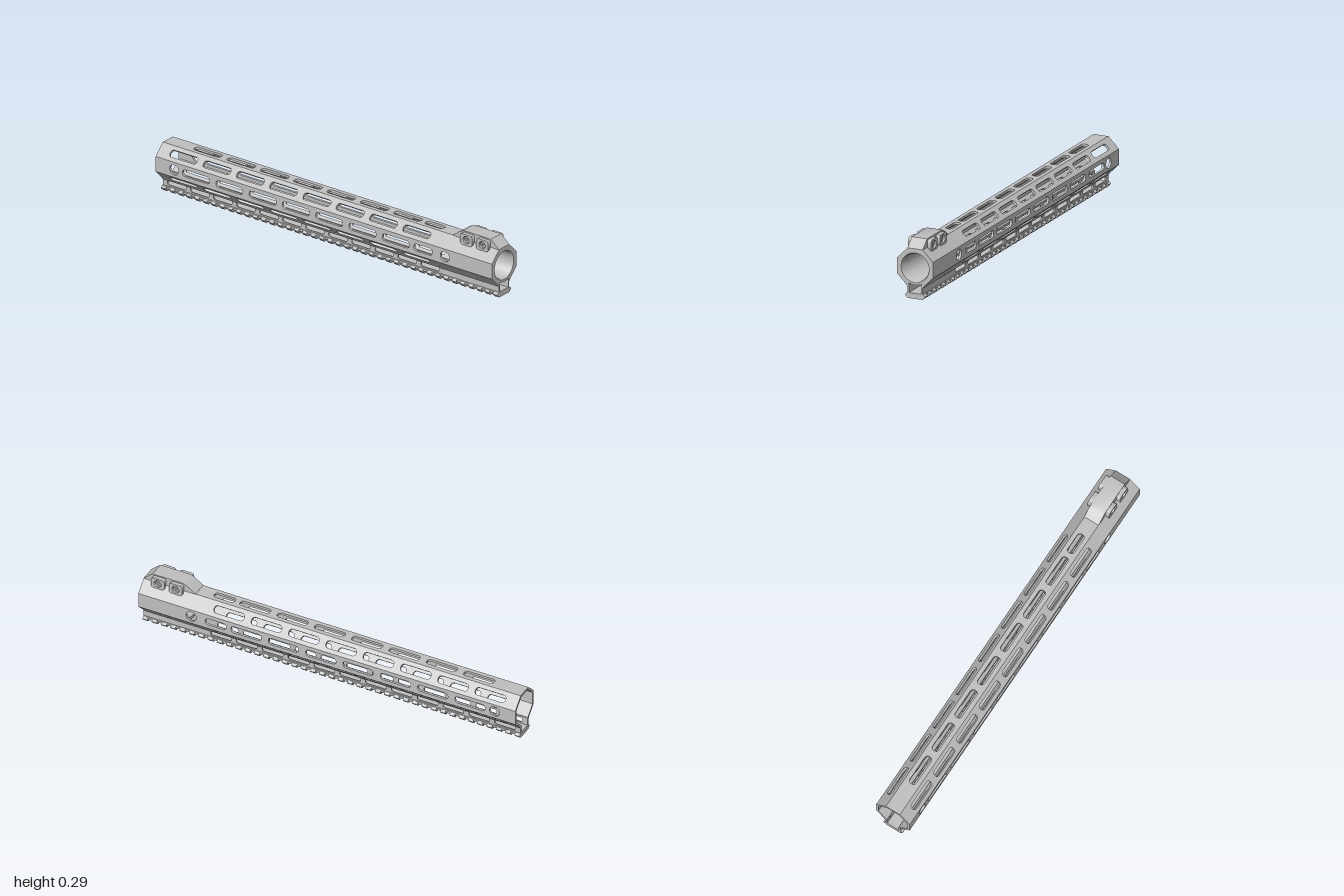
import * as THREE from 'three';
import { toCreasedNormals } from 'three/addons/utils/BufferGeometryUtils.js';

const CY = 0.153;                    // tube axis height
const A = 0.094;                     // octagon apothem
const HALF = A * Math.tan(Math.PI / 8);
const WALL = 0.012;
const BODY_Z = 0.76;                 // solid front collar starts here
const PITCH = 0.198;

const metal = new THREE.MeshStandardMaterial({ color: 0xc0c0c0 });
metal.name = 'lightGreyMetal';

function mesh(name, geo) {
  const m = new THREE.Mesh(toCreasedNormals(geo, 0.6), metal);
  m.name = name;
  return m;
}

// Rounded rectangle traced around (cx, cy)
function roundRect(path, cx, cy, w, h, r) {
  const x = w / 2 - r, y = h / 2 - r;
  path.absarc(cx + x, cy + y, r, 0, Math.PI / 2);
  path.absarc(cx - x, cy + y, r, Math.PI / 2, Math.PI);
  path.absarc(cx - x, cy - y, r, Math.PI, Math.PI * 1.5);
  path.absarc(cx + x, cy - y, r, Math.PI * 1.5, Math.PI * 2);
  path.closePath();
  return path;
}

const slot = (z0, z1, h, r = h * 0.42) =>
  roundRect(new THREE.Path(), (z0 + z1) / 2, 0, Math.abs(z1 - z0), h, r);
const hole = (z, r) => new THREE.Path().absarc(z, 0, r, 0, Math.PI * 2);

// Stand a plate drawn in (z, width) so that it faces angle a, outer face at (x, y)
function place(geo, a, x, y) {
  const c = Math.cos(a), s = Math.sin(a);
  const m = new THREE.Matrix4().makeBasis(
    new THREE.Vector3(0, 0, 1), new THREE.Vector3(s, -c, 0), new THREE.Vector3(c, s, 0));
  return geo.applyMatrix4(m.setPosition(x, y, 0));
}

// Straight plate of thickness t; miter narrows the inner edges
function plate(z0, z1, half, t, holes, miter = 1) {
  const shape = new THREE.Shape([[z0, -half], [z1, -half], [z1, half], [z0, half]]
    .map(p => new THREE.Vector2(...p)));
  shape.holes = holes;
  const geo = new THREE.ExtrudeGeometry(shape, { depth: t, bevelEnabled: false, curveSegments: 8 });
  geo.translate(0, 0, -t);
  const p = geo.attributes.position;
  for (let i = 0; i < p.count; i++) {
    if (p.getZ(i) < -t / 2 && Math.abs(p.getY(i)) > half - 1e-4) p.setY(i, p.getY(i) * miter);
  }
  return geo;
}

function extrude(points, depth) {
  const shape = new THREE.Shape(points.map(p => new THREE.Vector2(...p)));
  return new THREE.ExtrudeGeometry(shape, { depth, bevelEnabled: false });
}

export function createModel() {
  const group = new THREE.Group();

  // Slot layouts for flat and diagonal walls
  const flatSlots = () => {
    const list = [slot(0.535, 0.645, 0.036)];
    for (let i = 0; i < 7; i++) list.push(slot(0.348 - i * PITCH, 0.508 - i * PITCH, 0.036));
    return list;
  };
  const diagonalSlots = () => Array.from({ length: 8 },
    (_, i) => slot(0.452 - i * PITCH, 0.612 - i * PITCH, 0.036));

  // Seven slotted walls of the octagonal tube, open underneath
  for (let k = -1; k <= 5; k++) {
    const a = k * Math.PI / 4;
    const diagonal = k % 2 !== 0;
    const holes = diagonal ? diagonalSlots() : flatSlots();
    if (k === 0 || k === 4) holes.push(hole(0.72, 0.027), hole(-0.89, 0.027));
    const geo = plate(-1, BODY_Z, HALF, WALL, holes, (A - WALL) / A);
    group.add(mesh(diagonal ? 'diagonalWall' : k === 2 ? 'topWall' : 'sideWall',
      place(geo, a, A * Math.cos(a), CY + A * Math.sin(a))));
  }

  // Front collar: octagon outside, round bore inside, arched underside
  const R = A / Math.cos(Math.PI / 8);
  const collar = new THREE.Shape();
  for (let k = 0; k < 8; k++) {
    const a = -Math.PI * 3 / 8 + k * Math.PI / 4;
    collar[k ? 'lineTo' : 'moveTo'](R * Math.cos(a), R * Math.sin(a));
  }
  const arch = Math.acos(0.033 / 0.085);
  collar.absarc(0, 0, 0.085, -Math.PI + arch, -arch, false);
  collar.closePath();
  collar.holes.push(new THREE.Path().absarc(0, 0, 0.073, 0, Math.PI * 2));
  const collarGeo = new THREE.ExtrudeGeometry(collar,
    { depth: 1 - BODY_Z, bevelEnabled: false, curveSegments: 32 });
  group.add(mesh('frontCollar', collarGeo.translate(0, CY, BODY_Z)));

  // Bore lining with a chamfered mouth
  const lining = [[0.073, 1], [0.068, 0.99], [0.068, BODY_Z], [0.074, BODY_Z]]
    .map(p => new THREE.Vector2(...p));
  group.add(mesh('boreLining',
    new THREE.LatheGeometry(lining, 64).rotateX(Math.PI / 2).translate(0, CY, 0)));

  // Slotted struts between tube and lower rail, flared where they meet the tube
  for (const side of [1, -1]) {
    const holes = Array.from({ length: 12 },
      (_, i) => slot(0.535 - i * 0.137, 0.645 - i * 0.137, 0.026, 0.009));
    const geo = plate(-1, 1, 0.022, 0.007, holes);
    group.add(mesh('strut', place(geo, side > 0 ? 0 : Math.PI, side * 0.039, 0.047)));

    const flare = [[0.037, 0.06], [0.038, 0.055], [0.041, 0.058], [0.047, 0.067], [0.037, 0.067]]
      .map(([x, y]) => [x * side, y]);
    group.add(mesh('strutFlare', extrude(flare, 2).translate(0, 0, -1)));
  }

  // Lower rail: continuous core with cross teeth that form the flanges
  const core = extrude([[-0.044, 0.0145], [0.044, 0.0145], [0.044, 0.025], [0.042, 0.027],
    [-0.042, 0.027], [-0.044, 0.025]], 2);
  group.add(mesh('railCore', core.translate(0, 0, -1)));
  const teeth = new THREE.Group();
  teeth.name = 'railTeeth';
  const toothGeo = extrude([[-0.039, 0], [0.039, 0], [0.053, 0.0135], [0.053, 0.0165],
    [0.042, 0.0265], [-0.042, 0.0265], [-0.053, 0.0165], [-0.053, 0.0135]], 0.026);
  for (let i = 0; i < 41; i++) {
    const tooth = mesh('railTooth', toothGeo);
    tooth.position.z = 0.974 - i * (1.974 / 40);
    teeth.add(tooth);
  }
  group.add(teeth);

  // Raised block on top with sloped ends
  const block = extrude([[-1, 0.24], [-1, 0.247], [-0.952, 0.288], [-0.79, 0.288],
    [-0.765, 0.276], [-0.725, 0.247], [-0.725, 0.24]].reverse(), 0.08);
  group.add(mesh('topBlock', block.rotateY(Math.PI / 2).translate(-0.04, 0, 0)));

  // Clamp lugs with recessed screws on both sides of the block
  for (const side of [1, -1]) {
    const a = side > 0 ? 0 : Math.PI;
    for (const z of [0.915, 0.82]) {
      const shape = roundRect(new THREE.Shape(), z, 0, 0.07, 0.056, 0.012);
      shape.holes.push(hole(z, 0.019));
      const geo = new THREE.ExtrudeGeometry(shape, { depth: 0.022, bevelEnabled: false, curveSegments: 10 });
      geo.translate(0, 0, -0.022);
      group.add(mesh('clampLug', place(geo, a, side * 0.06, 0.254)));

      const ring = new THREE.Shape().absarc(z, 0, 0.014, 0, Math.PI * 2);
      ring.holes.push(hole(z, 0.006));
      const screw = new THREE.ExtrudeGeometry(ring, { depth: 0.014, bevelEnabled: false, curveSegments: 12 });
      screw.translate(0, 0, -0.014);
      group.add(mesh('clampScrew', place(screw, a, side * 0.053, 0.254)));
    }
  }
  return group;
}
